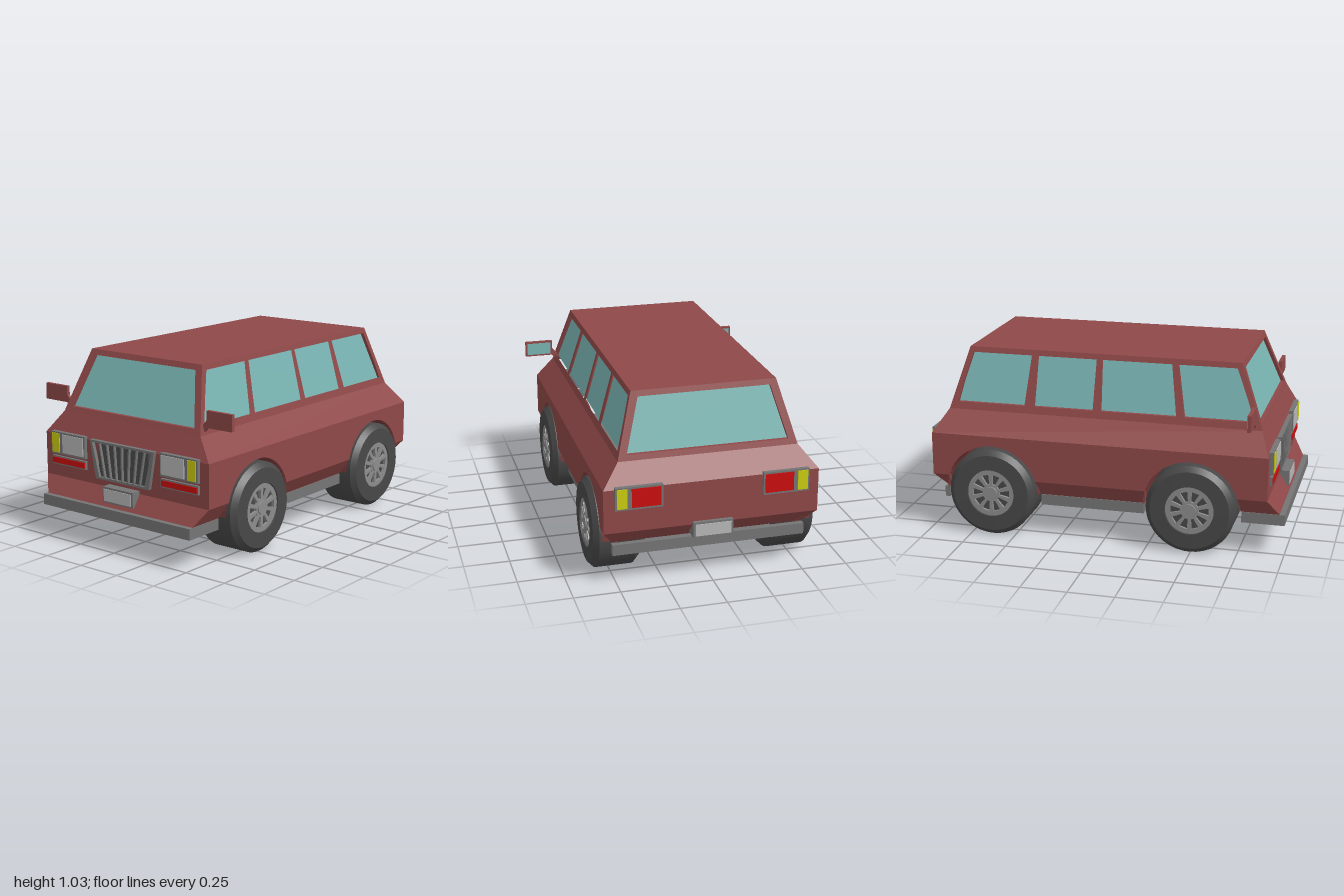
import * as THREE from 'three';
import { toCreasedNormals } from 'three/addons/utils/BufferGeometryUtils.js';

const mat = (color, side = THREE.FrontSide) =>
  new THREE.MeshStandardMaterial({ color, side, flatShading: true });
const RED = mat(0x8f4848), RED_IN = mat(0x7a3a3a, THREE.DoubleSide), GLASS = mat(0x78b4b2);
const GREY = mat(0x757575), DARK = mat(0x4c4c4c), LIGHT = mat(0xb8b8b8);
const YELLOW = mat(0xcccc10), LAMP_RED = mat(0xcc0c0c), RIM = mat(0x8c8c8c);
const TIRE = new THREE.MeshStandardMaterial({ color: 0x484848 });

// body levels: height, half width, front z, rear z
const LEVELS = [
  [0.24, 0.52, 0.97, -0.89],
  [0.33, 0.58, 0.91, -0.975],
  [0.57, 0.58, 0.91, -0.975],
  [0.69, 0.485, 0.86, -0.9],
  [1.03, 0.39, 0.73, -0.8],
];
const AXLES = [0.495, -0.63], AXLE_Y = 0.25, ARCH_R = 0.265;

const toShape = (pts) => new THREE.Shape(pts.map((p) => new THREE.Vector2(p[0], p[1])));

function add(parent, name, geo, material, x = 0, y = 0, z = 0) {
  const m = new THREE.Mesh(geo, material);
  m.name = name;
  m.position.set(x, y, z);
  parent.add(m);
  return m;
}

// box given by its limits on each axis
function block(parent, name, material, [x0, x1], [y0, y1], [z0, z1]) {
  const g = new THREE.BoxGeometry(Math.abs(x1 - x0), y1 - y0, Math.abs(z1 - z0));
  return add(parent, name, g, material, (x0 + x1) / 2, (y0 + y1) / 2, (z0 + z1) / 2);
}

// flat panel leaning with height: outer face at offset(y), then turned to its side of the car
function panel(parent, name, material, outline, holes, offset, angle, thick = 0.03) {
  const shape = toShape(outline);
  holes.forEach((h) => shape.holes.push(toShape(h)));
  const g = new THREE.ExtrudeGeometry(shape, { depth: thick, bevelEnabled: false });
  const p = g.attributes.position;
  for (let i = 0; i < p.count; i++) p.setZ(i, p.getZ(i) - thick + offset(p.getY(i)));
  g.rotateY(angle);
  g.computeVertexNormals();
  return add(parent, name, g, material);
}

function quad(parent, name, material, a, b, c, d) {
  const g = new THREE.BufferGeometry();
  g.setAttribute('position', new THREE.Float32BufferAttribute([a, b, c, a, c, d].flat(), 3));
  g.computeVertexNormals();
  return add(parent, name, g, material);
}

// linear interpolation of a body level column between two levels
const lean = (i, col) => (y) => {
  const [a, b] = [LEVELS[i], LEVELS[i + 1]];
  return a[col] + ((b[col] - a[col]) * (y - a[0])) / (b[0] - a[0]);
};

function buildBody(car) {
  const body = new THREE.Group();
  body.name = 'body';
  car.add(body);

  // front, rear and shoulder faces
  for (let i = 0; i < 3; i++) {
    const [y0, w0, f0, r0] = LEVELS[i], [y1, w1, f1, r1] = LEVELS[i + 1];
    quad(body, 'frontPanel', RED, [-w0, y0, f0], [w0, y0, f0], [w1, y1, f1], [-w1, y1, f1]);
    quad(body, 'rearPanel', RED, [w0, y0, r0], [-w0, y0, r0], [-w1, y1, r1], [w1, y1, r1]);
    if (i === 2) {
      quad(body, 'leftShoulder', RED, [w0, y0, f0], [w0, y0, r0], [w1, y1, r1], [w1, y1, f1]);
      quad(body, 'rightShoulder', RED, [-w0, y0, r0], [-w0, y0, f0], [-w1, y1, f1], [-w1, y1, r1]);
    }
  }
  const [ty, tw, tf, tr] = LEVELS[4];
  quad(body, 'roof', RED, [-tw, ty, tf], [tw, ty, tf], [tw, ty, tr], [-tw, ty, tr]);

  // side outline with wheel arches, running from rear to front
  const a0 = Math.asin((0.33 - AXLE_Y) / ARCH_R), reach = ARCH_R * Math.cos(a0);
  const side = [[-0.975, 0.57], [-0.975, 0.33]];
  for (const z of [...AXLES].reverse())
    for (let k = 0; k <= 20; k++) {
      const a = Math.PI - a0 - ((Math.PI - 2 * a0) * k) / 20;
      side.push([z + ARCH_R * Math.cos(a), AXLE_Y + ARCH_R * Math.sin(a)]);
    }
  side.push([0.91, 0.33], [0.91, 0.57]);

  const [zf, zr] = AXLES;
  const sills = [
    [[0.97, 0.24], [0.91, 0.33], [zf + reach, 0.33], [zf + ARCH_R, 0.24]],
    [[zf - ARCH_R, 0.24], [zf - reach, 0.33], [zr + reach, 0.33], [zr + ARCH_R, 0.24]],
    [[zr - ARCH_R, 0.24], [zr - reach, 0.33], [-0.975, 0.33], [-0.89, 0.24]],
  ];
  const cabin = [[0.86, 0.69], [0.73, 1.03], [-0.8, 1.03], [-0.9, 0.69]];
  const windows = [
    [[0.82, 0.73], [0.705, 1], [0.385, 1], [0.435, 0.73]],
    [[0.39, 0.73], [0.35, 1], [-0.04, 1], [-0.03, 0.73]],
    [[-0.075, 0.73], [-0.07, 1], [-0.405, 1], [-0.41, 0.73]],
    [[-0.465, 0.73], [-0.44, 1], [-0.79, 1], [-0.85, 0.73]],
  ];
  const sideGlass = [[0.825, 0.72], [0.7, 1.01], [-0.79, 1.01], [-0.86, 0.72]];

  for (const s of [1, -1]) {
    const name = s > 0 ? 'left' : 'right', turn = (s * Math.PI) / 2;
    const flip = (pts) => pts.map(([z, y]) => [-s * z, y]);
    panel(body, name + 'Side', RED, flip(side), [], () => 0.58, turn);
    sills.forEach((p) => panel(body, name + 'Sill', RED, flip(p), [], lean(0, 1), turn));
    panel(body, name + 'WindowFrame', RED, flip(cabin), windows.map(flip), lean(3, 1), turn);
    panel(body, name + 'Windows', GLASS, flip(sideGlass), [], (y) => lean(3, 1)(y) - 0.02, turn, 0.005);
  }

  // windscreen and rear window
  const end = [[-0.485, 0.69], [0.485, 0.69], [0.39, 1.03], [-0.39, 1.03]];
  const opening = [[-0.435, 0.72], [0.435, 0.72], [0.355, 1], [-0.355, 1]];
  const pane = [[-0.445, 0.71], [0.445, 0.71], [0.365, 1.01], [-0.365, 1.01]];
  const ends = [['front', lean(3, 2), 0], ['rear', (y) => -lean(3, 3)(y), Math.PI]];
  for (const [name, off, turn] of ends) {
    panel(body, name + 'WindowFrame', RED, end, [opening], off, turn);
    panel(body, name + 'Window', GLASS, pane, [], (y) => off(y) - 0.02, turn, 0.005);
  }
}

// floor frame with notches for the wheels
function buildFrame(car) {
  const right = [[0.525, 1]];
  for (const z of AXLES)
    right.push([0.525, z + 0.27], [0.345, z + 0.27], [0.345, z - 0.27], [0.525, z - 0.27]);
  right.push([0.525, -0.93]);
  const outline = [...right, ...right.map(([x, z]) => [-x, z]).reverse()];
  const g = new THREE.ExtrudeGeometry(toShape(outline), { depth: 0.06, bevelEnabled: false });
  g.rotateX(Math.PI / 2);
  g.scale(1, 1, 1);
  add(car, 'bumperFrame', g, GREY, 0, 0.24, 0);
}

function buildWheel(car, s, z) {
  const wheel = new THREE.Group();
  wheel.name = 'wheel';
  // tyre, outer side towards +x
  const profile = [[0, -0.13], [0.215, -0.13], [0.246, -0.1], [0.246, 0.1], [0.218, 0.128],
    [0.135, 0.13], [0.13, 0.105], [0, 0.105]].map((p) => new THREE.Vector2(...p));
  const tire = toCreasedNormals(new THREE.LatheGeometry(profile, 40), 0.4);
  add(wheel, 'tire', tire.rotateZ(-Math.PI / 2), TIRE);
  // rim with ten openings
  const rim = new THREE.Shape().absarc(0, 0, 0.133, 0, Math.PI * 2);
  for (let k = 0; k < 10; k++) {
    const a = (k * Math.PI) / 5, at = (r, d) => [r * Math.cos(a + d), r * Math.sin(a + d)];
    rim.holes.push(toShape([at(0.05, -0.16), at(0.108, -0.2), at(0.108, 0.2), at(0.05, 0.16)]));
  }
  const rg = new THREE.ExtrudeGeometry(rim, { depth: 0.015, bevelEnabled: false, curveSegments: 20 });
  add(wheel, 'rim', rg.rotateY(Math.PI / 2), RIM, 0.108);
  add(wheel, 'hub', new THREE.CylinderGeometry(0.036, 0.04, 0.02, 20).rotateZ(-Math.PI / 2), RIM, 0.12);
  wheel.position.set(s * 0.48, AXLE_Y, z);
  if (s < 0) wheel.rotation.y = Math.PI;
  car.add(wheel);
  // wheel well
  const well = new THREE.CylinderGeometry(ARCH_R, ARCH_R, 0.225, 24, 1, true, 0, Math.PI);
  add(car, 'wheelWell', well.rotateZ(Math.PI / 2), RED_IN, s * 0.457, AXLE_Y, z);
  const wall = new THREE.CircleGeometry(ARCH_R, 24, 0, Math.PI).rotateY(Math.PI / 2);
  add(car, 'wheelWellWall', wall, RED_IN, s * 0.345, AXLE_Y, z);
}

function buildLights(car, s) {
  const X = (a, b) => [s * a, s * b];
  // headlight and the red marker below it
  block(car, 'headlightFrame', GREY, X(0.27, 0.522), [0.46, 0.585], [0.9, 0.93]);
  block(car, 'headlight', LIGHT, X(0.28, 0.435), [0.472, 0.575], [0.92, 0.935]);
  block(car, 'frontIndicator', YELLOW, X(0.458, 0.513), [0.47, 0.577], [0.92, 0.935]);
  block(car, 'markerFrame', GREY, X(0.27, 0.522), [0.4, 0.447], [0.9, 0.925]);
  block(car, 'marker', LAMP_RED, X(0.276, 0.516), [0.408, 0.439], [0.92, 0.93]);
  // tail light
  block(car, 'tailLightFrame', GREY, X(0.27, 0.522), [0.46, 0.585], [-0.97, -0.993]);
  block(car, 'tailLight', LAMP_RED, X(0.28, 0.435), [0.472, 0.575], [-0.98, -0.998]);
  block(car, 'rearIndicator', YELLOW, X(0.458, 0.513), [0.47, 0.577], [-0.98, -0.998]);
}

function buildMirror(car, s) {
  block(car, 'mirror', RED, [s * 0.497, s * 0.66], [0.73, 0.82], [0.805, 0.825]);
  block(car, 'mirrorGlass', GLASS, [s * 0.507, s * 0.65], [0.74, 0.81], [0.802, 0.81]);
  const arm = toShape([[0.46, 0.69], [0.475, 0.7], [0.5, 0.73], [0.5, 0.775], [0.46, 0.73]].map(([x, y]) => [s * x, y]));
  add(car, 'mirrorArm', new THREE.ExtrudeGeometry(arm, { depth: 0.016, bevelEnabled: false }), RED, 0, 0, 0.807);
}

function buildGrille(car) {
  const frame = toShape([[-0.19, 0.37], [0.19, 0.37], [0.23, 0.58], [-0.23, 0.58]]);
  for (let k = 0; k < 8; k++) {
    const lo = -0.165 + k * 0.0416, hi = -0.213 + k * 0.0537;
    frame.holes.push(toShape([[lo, 0.382], [lo + 0.034, 0.382], [hi + 0.046, 0.568], [hi, 0.568]]));
  }
  add(car, 'grille', new THREE.ExtrudeGeometry(frame, { depth: 0.03, bevelEnabled: false }), GREY, 0, 0, 0.9);
  block(car, 'grilleBack', DARK, [-0.18, 0.18], [0.378, 0.572], [0.9, 0.915]);
}

export function createModel() {
  const car = new THREE.Group();
  car.name = 'car';
  buildBody(car);
  buildFrame(car);
  buildGrille(car);
  for (const s of [1, -1]) {
    AXLES.forEach((z) => buildWheel(car, s, z));
    buildLights(car, s);
    buildMirror(car, s);
  }
  // number plates
  block(car, 'frontPlateFrame', GREY, [-0.108, 0.108], [0.26, 0.347], [0.9, 0.965]);
  block(car, 'frontPlate', LIGHT, [-0.097, 0.097], [0.27, 0.336], [0.95, 0.969]);
  block(car, 'rearPlateFrame', GREY, [-0.108, 0.108], [0.26, 0.347], [-0.9, -0.996]);
  block(car, 'rearPlate', LIGHT, [-0.097, 0.097], [0.27, 0.336], [-0.98, -1]);
  return car;
}
